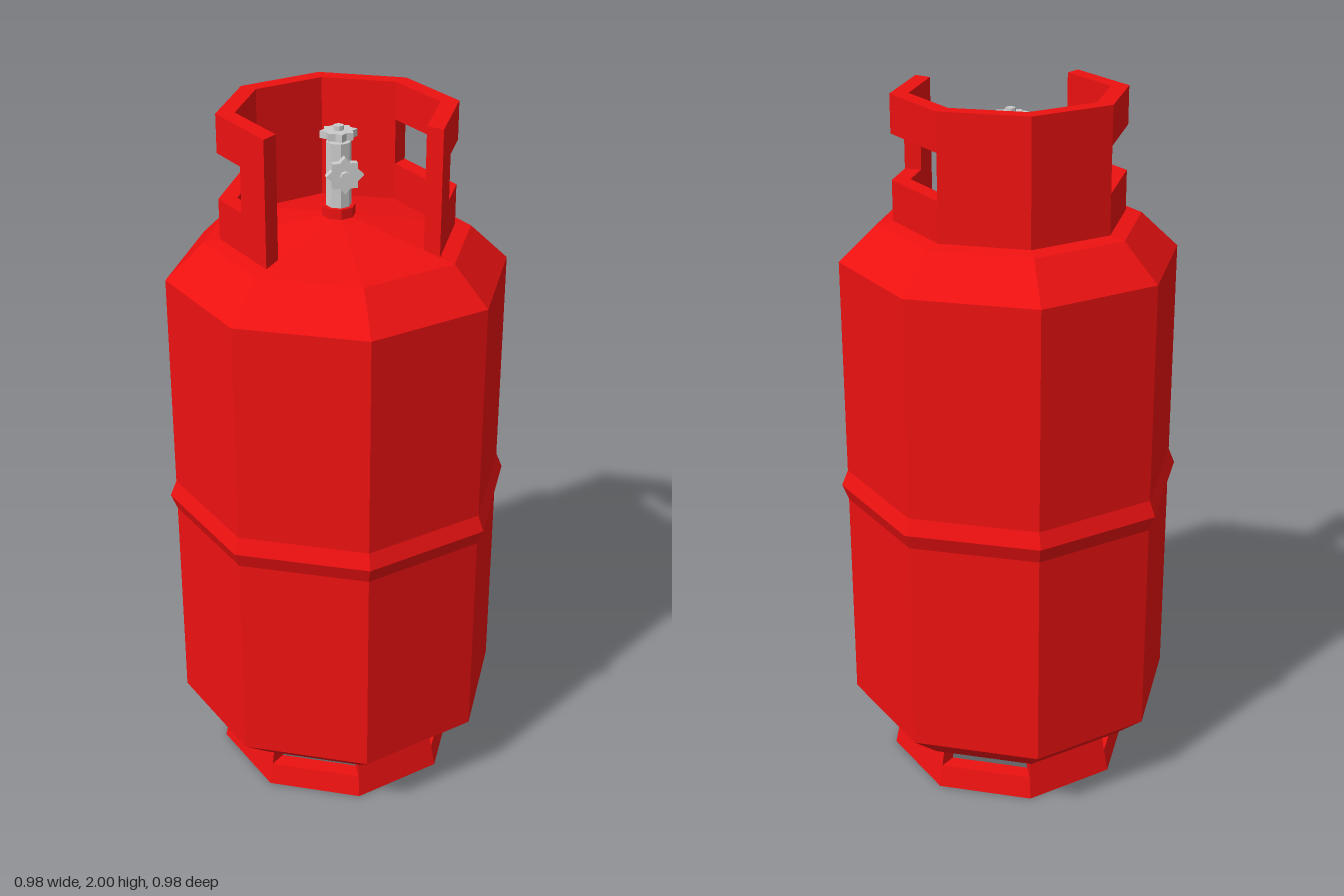
import * as THREE from 'three';

const red = new THREE.MeshStandardMaterial({ color: 0xee1111, flatShading: true });
const grey = new THREE.MeshStandardMaterial({ color: 0xcccccc, flatShading: true });

function addMesh(parent, name, geometry, material) {
  const flat = geometry.index ? geometry.toNonIndexed() : geometry;
  flat.computeVertexNormals();
  const mesh = new THREE.Mesh(flat, material);
  mesh.name = name;
  parent.add(mesh);
  return mesh;
}

// Unit octagon point at side position s (0 = front corner, 2 = left corner, 4 = back corner)
function octagonPoint(s) {
  const corner = (i) => new THREE.Vector2(Math.sin(i * Math.PI / 4), Math.cos(i * Math.PI / 4));
  const i = Math.floor(s);
  return corner(i).lerp(corner(i + 1), s - i);
}

// Wall following the octagon from s0 to s1; section is four [radius, y] corners
function octagonWall(s0, s1, section) {
  const stations = [s0];
  for (let i = Math.floor(s0) + 1; i < s1; i++) stations.push(i);
  stations.push(s1);
  const positions = [], index = [];
  stations.forEach((s, k) => {
    const p = octagonPoint(s);
    section.forEach(([r, y]) => positions.push(p.x * r, y, p.y * r));
    if (k === stations.length - 1) return;
    for (let j = 0; j < 4; j++) {
      const a = k * 4 + j, d = k * 4 + (j + 1) % 4;
      index.push(a, a + 4, d, a + 4, d + 4, d);
    }
  });
  const e = (stations.length - 1) * 4;
  index.push(0, 1, 2, 0, 2, 3, e, e + 2, e + 1, e, e + 3, e + 2);
  const g = new THREE.BufferGeometry();
  g.setAttribute('position', new THREE.Float32BufferAttribute(positions, 3));
  g.setIndex(index);
  return g;
}

// Notched handwheel with a hub, facing +z
function handwheel(name) {
  const wheel = new THREE.Group();
  wheel.name = name;
  const shape = new THREE.Shape();
  for (let i = 0; i < 16; i++) {
    const a = (i + 0.5) * Math.PI / 8;
    const lobe = i % 4 < 2 ? 0.05 : 0.047;
    const r = i % 2 ? 0.037 : lobe;
    const t = a - Math.PI / 16;
    shape[i ? 'lineTo' : 'moveTo'](r * Math.cos(t), r * Math.sin(t));
  }
  shape.closePath();
  const rim = new THREE.ExtrudeGeometry(shape, { depth: 0.02, bevelEnabled: false });
  addMesh(wheel, 'wheelRim', rim, grey);
  const hub = new THREE.CylinderGeometry(0.014, 0.014, 0.075, 8).rotateX(Math.PI / 2);
  addMesh(wheel, 'wheelSpindle', hub, grey).position.z = -0.005;
  return wheel;
}

export function createModel() {
  const model = new THREE.Group();
  model.name = 'gasCylinder';

  // Tank with domed ends and a raised weld band
  const profile = [
    [0, 0.06], [0.37, 0.13], [0.47, 0.215], [0.47, 0.84], [0.488, 0.885],
    [0.47, 0.93], [0.47, 1.55], [0.365, 1.65], [0, 1.715],
  ].map(([r, y]) => new THREE.Vector2(r, y));
  addMesh(model, 'tank', new THREE.LatheGeometry(profile, 8), red);

  // Collar: open at the front, with a hand hole on each side
  const collar = new THREE.Group();
  collar.name = 'collar';
  model.add(collar);
  const collarPart = (name, s0, s1, y0, y1) => addMesh(collar, name,
    octagonWall(s0, s1, [[0.32, y0], [0.32, y1], [0.27, y1], [0.27, y0]]), red);
  collarPart('collarBase', 1, 7, 1.645, 1.77);
  collarPart('collarTop', 1, 7, 1.895, 2);
  [[1, 1.5], [3, 5], [6.5, 7]].forEach(([s0, s1]) => collarPart('collarPost', s0, s1, 1.77, 1.895));

  // Tapered foot ring with an opening on every other side
  const foot = new THREE.Group();
  foot.name = 'footRing';
  model.add(foot);
  const footPart = (name, s0, s1, y0, y1) => {
    const outer = (y) => 0.357 - 0.2 * y;
    addMesh(foot, name, octagonWall(s0, s1, [
      [outer(y0), y0], [outer(y1), y1], [outer(y1) - 0.05, y1], [outer(y0) - 0.05, y0],
    ]), red);
  };
  footPart('footBand', 0, 8, 0, 0.065);
  for (let s = 0; s < 8; s += 2) footPart('footPost', s, s + 1, 0.065, 0.127);

  // Valve with a top wheel and a front wheel
  const valve = new THREE.Group();
  valve.name = 'valve';
  model.add(valve);
  addMesh(valve, 'valveSeat', new THREE.CylinderGeometry(0.045, 0.045, 0.04, 8), red).position.y = 1.715;
  addMesh(valve, 'valveBody', new THREE.CylinderGeometry(0.034, 0.034, 0.18, 8), grey).position.y = 1.82;
  const topWheel = handwheel('topWheel');
  topWheel.rotation.x = -Math.PI / 2;
  topWheel.position.y = 1.92;
  const frontWheel = handwheel('frontWheel');
  frontWheel.position.set(0, 1.847, 0.078);
  valve.add(topWheel, frontWheel);

  return model;
}
